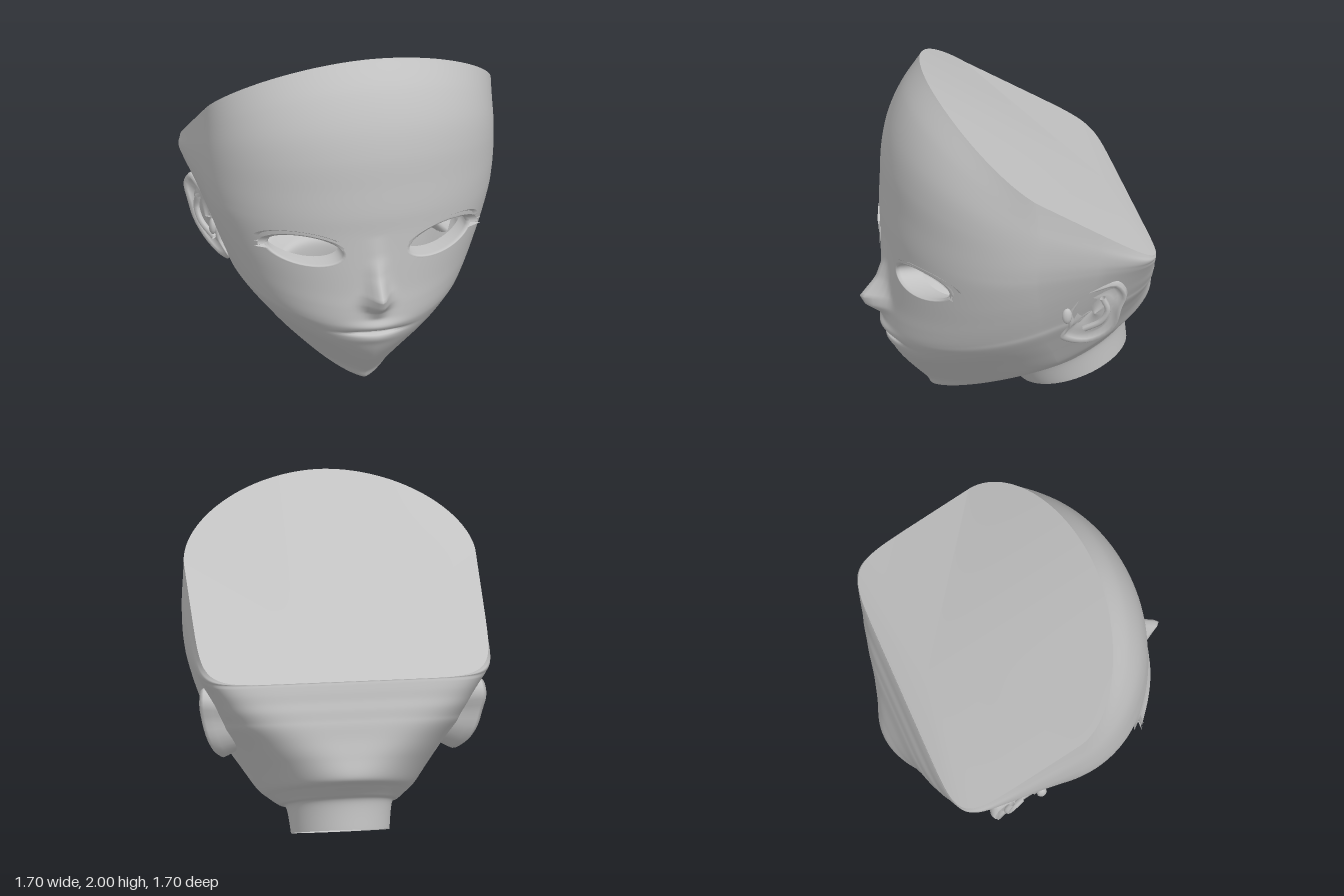
import * as THREE from 'three';

const skin = new THREE.MeshStandardMaterial({ color: 0xc2c2c2, side: THREE.DoubleSide });
skin.name = 'greySkin';

// Tilted rings from neck to crown:
// front z, front y, back z, back y, half width, widest z, front roundness
const RINGS = [
  [-0.09, 0.00, -0.71, 0.20, 0.28, -0.40, 2.0],
  [0.04, 0.10, -0.70, 0.36, 0.30, -0.35, 1.9],
  [0.20, 0.05, -0.74, 0.42, 0.34, -0.30, 1.6],
  [0.40, 0.01, -0.80, 0.49, 0.39, -0.25, 1.4],
  [0.46, 0.07, -0.85, 0.55, 0.45, -0.20, 1.42],
  [0.58, 0.20, -0.83, 0.66, 0.54, -0.15, 1.6],
  [0.65, 0.30, -0.805, 0.76, 0.61, -0.10, 1.75],
  [0.69, 0.40, -0.79, 0.84, 0.67, -0.07, 1.85],
  [0.705, 0.46, -0.78, 0.88, 0.69, -0.06, 1.9],
  [0.705, 0.55, -0.77, 0.93, 0.72, -0.05, 1.93],
  [0.70, 0.65, -0.755, 0.98, 0.75, -0.04, 1.95],
  [0.70, 0.80, -0.745, 1.03, 0.785, -0.02, 1.97],
  [0.70, 1.00, -0.735, 1.07, 0.82, 0, 2.0],
  [0.705, 1.13, -0.73, 1.085, 0.835, 0, 2.0],
  [0.70, 1.28, -0.73, 1.09, 0.845, 0, 2.0],
  [0.69, 1.48, -0.73, 1.09, 0.85, 0, 2.0],
  [0.65, 1.67, -0.73, 1.09, 0.85, 0, 2.0],
  [0.57, 1.85, -0.73, 1.09, 0.845, 0.01, 1.95],
  [0.455, 2.00, -0.73, 1.09, 0.84, 0.02, 1.9],
];
const COLS = 200, SUB = 10;
const EYE = { x: 0.395, y: 0.92, rx: 0.205, ry: 0.09, tilt: 0.1 };

function mesh(name, positions, index) {
  const g = new THREE.BufferGeometry();
  g.setAttribute('position', new THREE.Float32BufferAttribute(positions, 3));
  g.setIndex(index);
  g.computeVertexNormals();
  const m = new THREE.Mesh(g, skin);
  m.name = name;
  return m;
}

// Joins equal-length rows of points into a surface; mirrored sides are turned over
function loft(name, rows, side, closed) {
  const n = rows[0].length, idx = [];
  for (let i = 0; i + 1 < rows.length; i++)
    for (let j = 0; j < (closed ? n : n - 1); j++) {
      const k = (j + 1) % n, [a, b] = side > 0 ? [i * n + j, i * n + k] : [i * n + k, i * n + j];
      idx.push(a, b, b + n, a, b + n, a + n);
    }
  return mesh(name, rows.flat(2), idx);
}

// Smooth blend between neighbouring rings
function ringAt(t) {
  const i = Math.min(Math.floor(t), RINGS.length - 2), u = t - i;
  const R = (k) => RINGS[THREE.MathUtils.clamp(k, 0, RINGS.length - 1)];
  return RINGS[0].map((_, c) => {
    const [a, b, d, e] = [R(i - 1)[c], R(i)[c], R(i + 1)[c], R(i + 2)[c]];
    return b + 0.5 * u * (d - a + u * (2 * a - 5 * b + 4 * d - e + u * (3 * (b - d) + e - a)));
  });
}

// The back grows boxier with height, and the crown sags at the sides
function ringPoint([zF, yF, zB, yB, w, zc, nF], angle) {
  const nB = 2 + 7 * THREE.MathUtils.clamp((yB - 0.52) / 0.55, 0, 1) ** 2;
  const sag = 0.065 * THREE.MathUtils.smoothstep(yF, 1.35, 2);
  const s = Math.sin(angle), c = Math.cos(angle), p = 2 / (c >= 0 ? nF : nB);
  const x = w * Math.sign(s) * Math.abs(s) ** p;
  const z = zc + (c >= 0 ? zF - zc : zB - zc) * Math.abs(c) ** p;
  const drop = sag * s * s * (c >= 0 ? 1 : (z - zB) / (zc - zB));
  return [x, yB + (yF - yB) * (z - zB) / (zF - zB) - drop, z];
}

// Nose profile as height, projection
const NOSE = [[0.49, 0], [0.54, 0.035], [0.59, 0.115], [0.65, 0.15], [0.7, 0.11], [0.76, 0.06], [0.87, 0.015], [1.0, 0]];
function noseHeight(y) {
  for (let i = 1; i < NOSE.length; i++) {
    const [y0, h0] = NOSE[i - 1], [y1, h1] = NOSE[i];
    if (y >= y0 && y <= y1) return h0 + (h1 - h0) * (y - y0) / (y1 - y0);
  }
  return 0;
}
const bump = (v, s) => Math.exp(-((v / s) ** 2));
const faceZ = (x) => 0.7 * Math.sqrt(Math.max(0, 1 - (x / 0.81) ** 2));

// Position on the eye outline, scaled by r and raised off the face
function eyePoint(side, angle, r, out) {
  const u = EYE.rx * r * Math.cos(angle), v = EYE.ry * r * Math.sin(angle);
  const x = EYE.x + u;
  return [side * (x + out * 0.5), EYE.y + v + u * EYE.tilt, faceZ(x) + out * 0.85];
}
function eyeRadius(x, y) {
  const u = Math.abs(x) - EYE.x;
  return Math.hypot(u / EYE.rx, (y - EYE.y - u * EYE.tilt) / EYE.ry);
}

// Nose, lips and eye openings pressed into the plain head
function sculpt(p) {
  let [x, y, z] = p;
  if (z < 0.2) return { p, hole: false };
  z += noseHeight(y) * bump(x, 0.048 + 0.017 * bump(y - 0.6, 0.08));
  z += bump(x, 0.15) * (0.02 * bump(y - 0.445, 0.03) + 0.012 * bump(y - 0.355, 0.03));
  z -= 0.045 * bump(x, 0.145) * bump(y - 0.4, 0.011);
  const r = eyeRadius(x, y);
  if (r < 1 && r > 0.7) {
    const nx = EYE.x + (Math.abs(x) - EYE.x) / r;
    z += faceZ(nx) - faceZ(x);
    y = EYE.y + (y - EYE.y) / r;
    x = Math.sign(x) * nx;
  }
  return { p: [x, y, z], hole: r <= 0.7 };
}

function buildHead(group) {
  const pos = [], hole = [], idx = [], rows = (RINGS.length - 1) * SUB;
  for (let i = 0; i <= rows; i++) {
    const r = ringAt(i / SUB);
    for (let j = 0; j < COLS; j++) {
      const v = sculpt(ringPoint(r, j / COLS * Math.PI * 2));
      pos.push(...v.p);
      hole.push(v.hole);
    }
  }
  for (let i = 0; i < rows; i++)
    for (let j = 0; j < COLS; j++) {
      const k = (j + 1) % COLS, a = i * COLS + j, b = i * COLS + k, c = b + COLS, d = a + COLS;
      if (!(hole[a] || hole[b] || hole[c] || hole[d])) idx.push(a, b, c, a, c, d);
    }
  group.add(mesh('head', pos, idx));

  // Slanted flat cap closing the crown
  const cap = [0, 1.21, -0.59, ...pos.slice(rows * COLS * 3)], fan = [];
  for (let j = 0; j < COLS; j++) fan.push(0, j + 1, (j + 1) % COLS + 1);
  group.add(mesh('crownCap', cap, fan));
}

function buildEye(side) {
  const eye = new THREE.Group();
  eye.name = side > 0 ? 'leftEye' : 'rightEye';
  const arc = (a0, a1, r, out, n = 40) => Array.from({ length: n + 1 }, (_, i) =>
    eyePoint(side, a0 + (a1 - a0) * i / n, r, out(i / n)));
  const flat = (v) => () => v;
  // Lid thickness turning straight back into the socket
  const lid = arc(0, Math.PI * 2, 0.96, flat(-0.02));
  eye.add(loft('eyelid', [arc(0, Math.PI * 2, 1.08, flat(0.002)), arc(0, Math.PI * 2, 0.99, flat(0.004)),
    lid, lid.map(([x, y, z]) => [x, y, z - 0.12])], side));
  // Upper lash and the fold above it
  eye.add(loft('upperLash', [arc(-0.1, 2.7, 1.13, (t) => 0.043 - 0.035 * t), arc(-0.1, 2.9, 0.99, flat(0.003))], side));
  eye.add(loft('lidFold', [arc(0.2, 2.3, 1.3, flat(0.015)), arc(0.2, 2.3, 1.2, flat(0))], side));
  // Pointed lashes at the outer corner
  for (const a of [-0.25, 0.05, 0.35])
    eye.add(mesh('lashPoint', [
      ...eyePoint(side, a + 0.14, 1.03, 0.005), ...eyePoint(side, a - 0.12, 1.0, 0.005),
      ...eyePoint(side, a + 0.05, 1.22, 0.05)], side > 0 ? [0, 1, 2] : [1, 0, 2]));
  return eye;
}

// Ear outline as z, y
const EAR = [[-0.19, 0.77], [-0.2, 0.67], [-0.16, 0.59], [-0.22, 0.55], [-0.31, 0.54], [-0.41, 0.6], [-0.47, 0.7],
  [-0.49, 0.82], [-0.52, 0.93], [-0.47, 1.0], [-0.36, 0.97], [-0.26, 0.92], [-0.22, 0.85]];

function buildEar(side) {
  const ear = new THREE.Group();
  ear.name = side > 0 ? 'leftEar' : 'rightEar';
  const outline = new THREE.CatmullRomCurve3(EAR.map(([z, y]) => new THREE.Vector3(0, y, z)), true).getPoints(36).slice(0, -1);
  const root = (y) => 0.58 + 0.5 * (y - 0.54) - 0.6 * (y - 0.54) ** 2;
  const ring = ([scale, lift]) => outline.map((p) => {
    const z = -0.34 + (p.z + 0.34) * scale, y = 0.77 + (p.y - 0.77) * scale;
    return [side * (root(y) + lift * (0.55 + 2.4 * Math.max(0, -p.z - 0.15))), y, z];
  });
  // Root, rim, then the hollow: scale, lift
  const rows = [[0.75, -0.06], [0.95, 0.05], [1, 0.085], [0.93, 0.1], [0.84, 0.085],
    [0.74, 0.055], [0.6, 0.07], [0.42, 0.05], [0.02, 0.055]].map(ring);
  ear.add(loft('earShell', rows, side, true));
  // Small flap in front and inner ridge
  const flap = new THREE.Mesh(new THREE.SphereGeometry(1, 10, 8), skin);
  flap.name = 'earFlap';
  flap.scale.set(0.022, 0.05, 0.03);
  flap.position.set(side * 0.74, 0.78, -0.18);
  const path = new THREE.CatmullRomCurve3([[0.70, 0.66, -0.29], [0.755, 0.73, -0.38], [0.775, 0.81, -0.41], [0.775, 0.89, -0.38]]
    .map(([x, y, z]) => new THREE.Vector3(side * x, y, z)));
  const ridge = new THREE.Mesh(new THREE.TubeGeometry(path, 14, 0.018, 7), skin);
  ridge.name = 'earRidge';
  ear.add(flap, ridge);
  return ear;
}

export function createModel() {
  const model = new THREE.Group();
  model.name = 'headModel';
  buildHead(model);
  for (const side of [1, -1]) model.add(buildEye(side), buildEar(side));
  return model;
}
